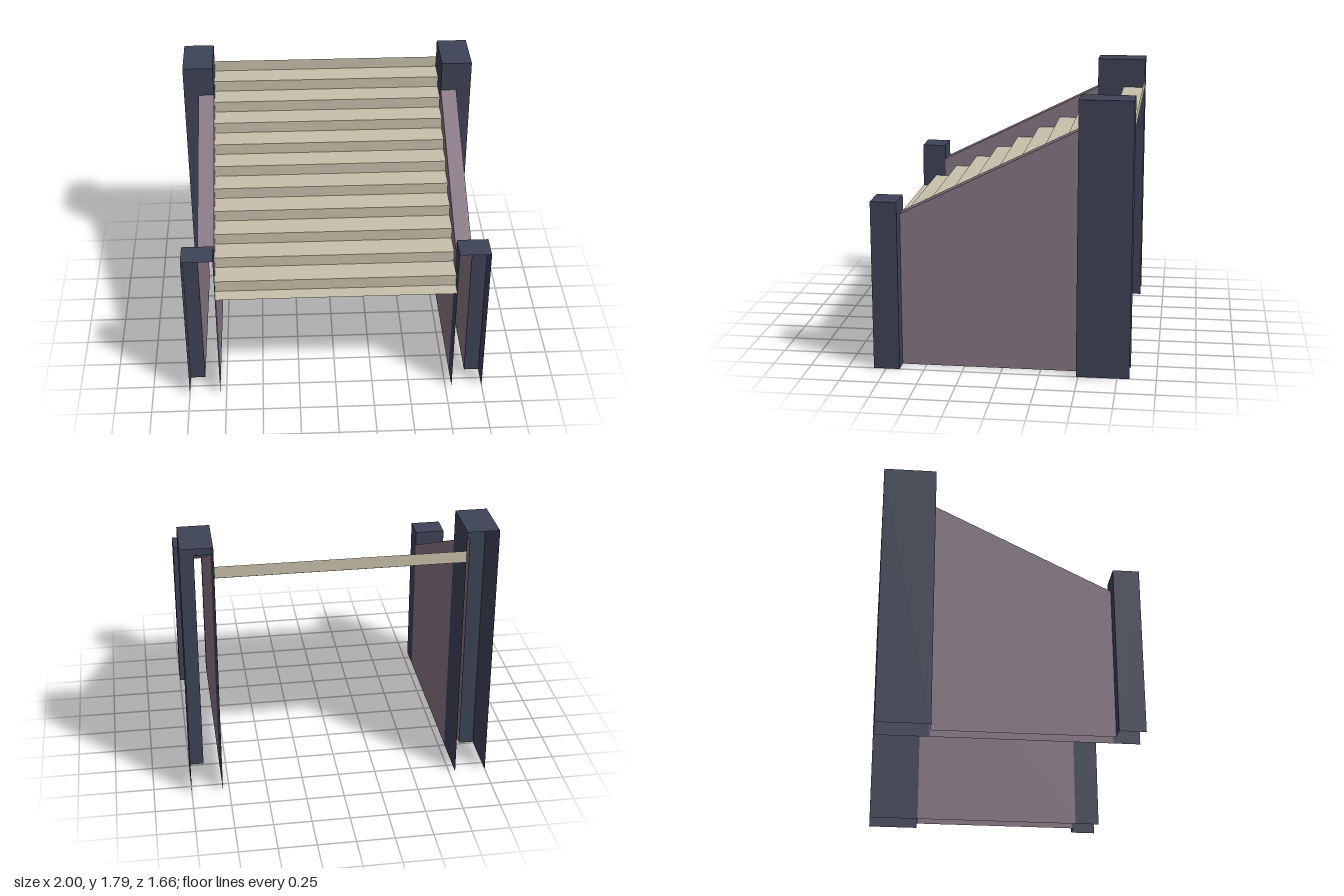
import * as THREE from 'three';

const sheet = (name, color) => {
  const m = new THREE.MeshStandardMaterial({ color, side: THREE.DoubleSide });
  m.name = name;
  return m;
};

// Open folded sheet spanning two matching rows of points, one flat panel per segment
function foldedSheet(rowA, rowB) {
  const pos = [];
  for (let i = 0; i < rowA.length - 1; i++) {
    const a = rowA[i], b = rowA[i + 1], c = rowB[i + 1], d = rowB[i];
    pos.push(...a, ...b, ...c, ...a, ...c, ...d);
  }
  const g = new THREE.BufferGeometry();
  g.setAttribute('position', new THREE.Float32BufferAttribute(pos, 3));
  g.computeVertexNormals();
  return g;
}

export function createModel() {
  const model = new THREE.Group();
  const stone = sheet('slateBlue', 0x3d4356);
  const plum = sheet('mutedPlum', 0x867583);
  const sand = sheet('paleSand', 0xc6c0ab);

  const add = (name, geometry, material, parent = model) => {
    const mesh = new THREE.Mesh(geometry, material);
    mesh.name = name;
    parent.add(mesh);
  };

  const inner = 0.793, rail = 0.9, outer = 1, depth = 0.83;
  const zFront = 0.66, zBack = -0.487;
  const railFront = 1.015, railBack = 1.585;

  // Staircase: a zigzag sheet of treads and risers, ending in a riser at the back
  const steps = 11, run = 0.1565, bottom = 0.805, rise = (1.665 - bottom) / steps;
  const profile = [[bottom, depth]];
  for (let i = 0; i < steps; i++) {
    const z = -depth + run * (steps - 1 - i);
    profile.push([bottom + rise * i, z], [bottom + rise * (i + 1), z]);
  }
  const edge = (x) => profile.map(([y, z]) => [x, y, z]);
  add('stairs', foldedSheet(edge(-inner), edge(inner)), sand);

  // Upside-down U section, open underneath
  const arch = (s, x0, x1, h, z) =>
    [[s * x0, 0, z], [s * x0, h, z], [s * x1, h, z], [s * x1, 0, z]];

  // Post: two sides and a top, with a notched panel where it meets the side wall
  function addPost(name, s, height, zEnd, zWall, wallHeight) {
    const post = new THREE.Group();
    post.name = name;
    add('postShell', foldedSheet(
      arch(s, inner, outer, height, zEnd),
      arch(s, inner, outer, height, zWall)), stone, post);
    const panel = new THREE.Shape([
      [rail, 0], [outer, 0], [outer, height],
      [inner, height], [inner, wallHeight], [rail, wallHeight],
    ].map(([x, y]) => new THREE.Vector2(s * x, y)));
    const g = new THREE.ShapeGeometry(panel);
    if (zEnd < zWall === false) g.rotateY(Math.PI).scale(-1, 1, 1);
    // Restore outward winding after the mirrored turn
    if (zEnd > zWall) {
      const idx = g.index.array;
      for (let i = 0; i < idx.length; i += 3) [idx[i], idx[i + 1]] = [idx[i + 1], idx[i]];
      g.computeVertexNormals();
    }
    g.translate(0, 0, zWall);
    add('postPanel', g, stone, post);
    model.add(post);
  }

  for (const [side, s] of [['left', 1], ['right', -1]]) {
    // Hollow side wall with a sloping top
    add(side + 'Wall', foldedSheet(
      arch(s, inner, rail, railFront, zFront),
      arch(s, inner, rail, railBack, zBack)), plum);
    addPost(side + 'FrontPost', s, 1.115, depth, zFront, railFront);
    addPost(side + 'BackPost', s, 1.793, -depth, zBack, railBack);
  }
  return model;
}
